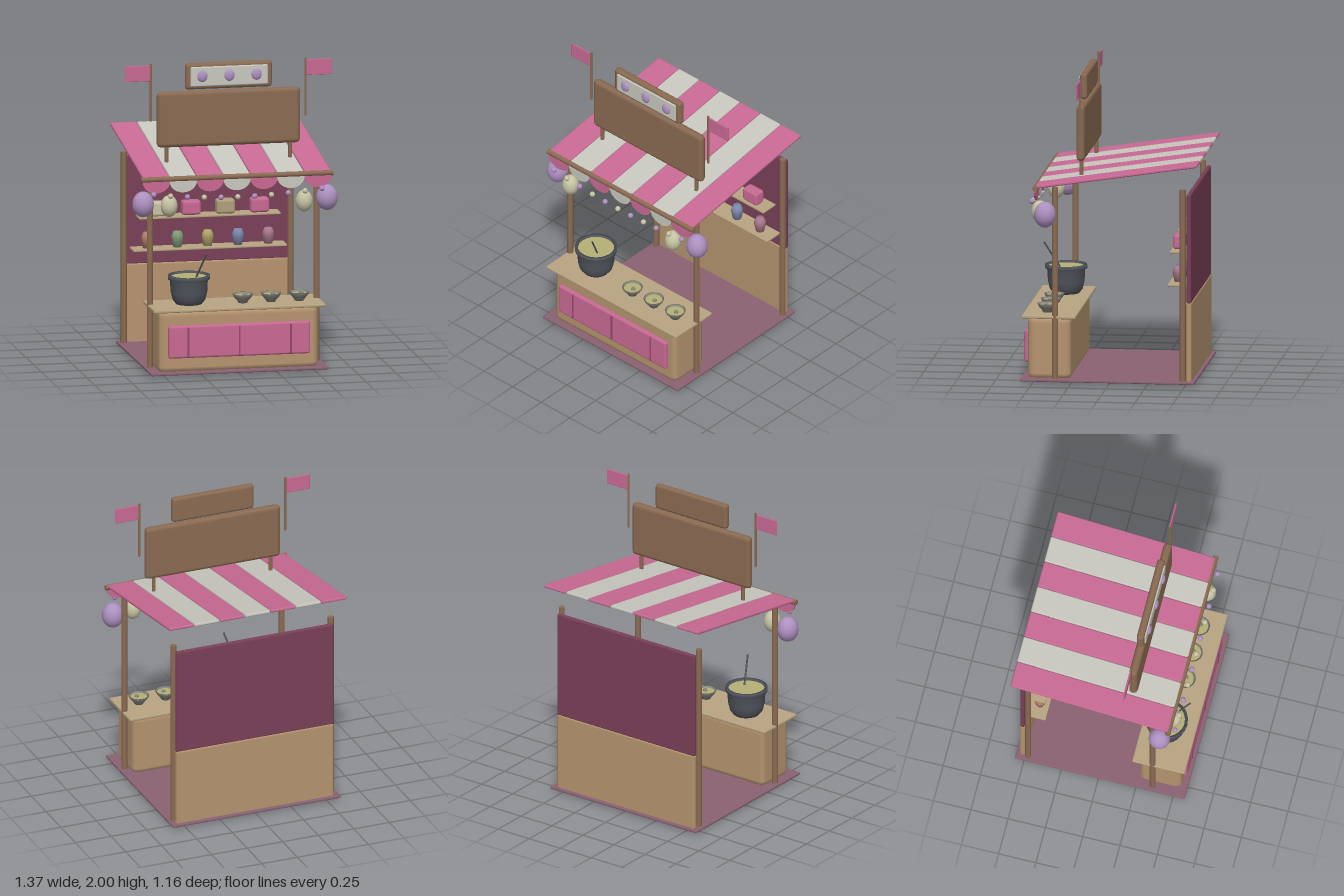
import * as THREE from 'three';
import { RoundedBoxGeometry } from 'three/addons/geometries/RoundedBoxGeometry.js';

const C = {
  wood: 0x8b6b52, lightWood: 0xb5946f, board: 0xb8a482, pink: 0xc96a94, darkPink: 0x9a4a6e,
  white: 0xc8c8c0, plum: 0x7a4058, floor: 0x8a6272, lilac: 0xad90c0, cream: 0xc6c4a4,
  iron: 0x51555d, soup: 0xb5b075, bowl: 0x85857f,
};

export function createModel() {
  const root = new THREE.Group();
  const materials = {};

  const mat = (color, side = THREE.FrontSide) =>
    (materials[color + '_' + side] ??= new THREE.MeshStandardMaterial({ color, side }));

  function add(name, geometry, color, x = 0, y = 0, z = 0, side) {
    const mesh = new THREE.Mesh(geometry, mat(color, side));
    mesh.name = name;
    mesh.position.set(x, y, z);
    root.add(mesh);
    return mesh;
  }

  // Softly bevelled box given by its extents on each axis
  function box(name, color, [x0, x1], [y0, y1], [z0, z1], r = 0.02) {
    const w = x1 - x0, h = y1 - y0, d = z1 - z0;
    const radius = Math.min(r, w * 0.49, h * 0.49, d * 0.49);
    return add(name, new RoundedBoxGeometry(w, h, d, 1, radius), color,
      (x0 + x1) / 2, (y0 + y1) / 2, (z0 + z1) / 2);
  }

  // Round rod between two points
  function rod(name, color, a, b, r, sides = 10) {
    const p = new THREE.Vector3(...a), q = new THREE.Vector3(...b);
    const mesh = add(name, new THREE.CylinderGeometry(r, r, p.distanceTo(q), sides), color);
    mesh.position.copy(p).add(q).multiplyScalar(0.5);
    mesh.quaternion.setFromUnitVectors(new THREE.Vector3(0, 1, 0), q.sub(p).normalize());
    return mesh;
  }

  function ball(name, color, x, y, z, rx, ry = rx, rz = rx) {
    const mesh = add(name, new THREE.SphereGeometry(1, 14, 10), color, x, y, z);
    mesh.scale.set(rx, ry, rz);
    return mesh;
  }

  function lathe(name, color, points, sides, x, y, z) {
    const profile = points.map(p => new THREE.Vector2(...p));
    return add(name, new THREE.LatheGeometry(profile, sides), color, x, y, z, THREE.DoubleSide);
  }

  // Floor, corner posts and back wall
  box('floor', C.floor, [-0.59, 0.59], [0.008, 0.026], [-0.56, 0.58], 0.006);
  for (const x of [-0.553, 0.553]) {
    rod('frontPost', C.wood, [x, 0, 0.355], [x, 1.29, 0.355], 0.02);
    rod('backPost', C.wood, [x, 0, -0.48], [x, 1.29, -0.48], 0.02);
  }
  box('lowerBackWall', C.lightWood, [-0.555, 0.555], [0.01, 0.545], [-0.538, -0.5], 0.015);
  box('upperBackWall', C.plum, [-0.555, 0.555], [0.535, 1.26], [-0.535, -0.505], 0.013);

  // Counter with a barred front panel
  box('counter', C.lightWood, [-0.53, 0.53], [0.012, 0.425], [0.255, 0.54], 0.04);
  box('counterTop', C.board, [-0.57, 0.57], [0.42, 0.442], [0.22, 0.574], 0.008);
  box('frontPanel', C.pink, [-0.47, 0.47], [0.115, 0.33], [0.52, 0.566], 0.015);
  for (const x of [-0.34, 0, 0.34])
    box('panelBar', C.darkPink, [x - 0.006, x + 0.006], [0.125, 0.32], [0.55, 0.571], 0.003);

  // Cooking pot, soup and ladle
  const potX = -0.3, potZ = 0.385;
  lathe('pot', C.iron, [[0, 0], [0.085, 0], [0.108, 0.03], [0.12, 0.08], [0.124, 0.155],
    [0.138, 0.165], [0.138, 0.19], [0.12, 0.19], [0.115, 0.15]], 20, potX, 0.443, potZ);
  add('potSoup', new THREE.CylinderGeometry(0.119, 0.119, 0.012, 20), C.soup, potX, 0.615, potZ);
  rod('ladle', C.iron, [-0.27, 0.58, 0.395], [-0.212, 0.79, 0.52], 0.006, 6);

  // Serving bowls
  for (const x of [0.05, 0.237, 0.425]) {
    lathe('bowl', C.bowl, [[0, 0], [0.03, 0], [0.034, 0.01], [0.055, 0.034], [0.068, 0.058],
      [0.061, 0.058], [0.05, 0.036]], 14, x, 0.442, 0.42);
    add('bowlSoup', new THREE.CylinderGeometry(0.056, 0.05, 0.008, 14), C.soup, x, 0.486, 0.42);
    ball('dumpling', C.bowl, x + 0.012, 0.493, 0.425, 0.014);
  }

  // Shelves with boxes and jars
  box('upperShelf', C.board, [-0.47, 0.47], [0.853, 0.867], [-0.505, -0.385], 0.004);
  box('lowerShelf', C.board, [-0.51, 0.51], [0.642, 0.656], [-0.505, -0.375], 0.004);
  [C.cream, C.pink, 0xb0a07c, C.pink].forEach((color, i) => {
    const x = -0.345 + i * 0.227;
    box('shelfBox', color, [x - 0.063, x + 0.063], [0.867, 0.963], [-0.475, -0.395], 0.018);
  });
  [0xb07f68, 0x7f9c78, 0xb0a468, 0x7f88ac, 0xa8788c].forEach((color, i) => {
    lathe('jar', color, [[0, 0], [0.028, 0], [0.04, 0.06], [0.037, 0.08], [0.025, 0.104], [0, 0.104]],
      8, -0.408 + i * 0.201, 0.656, -0.435);
  });

  // Sloping striped awning with a scalloped valance
  const stripeW = 1.25 / 7;
  const scallop = new THREE.Shape();
  scallop.moveTo(-stripeW / 2, 0.06);
  scallop.bezierCurveTo(-stripeW * 0.36, -0.02, stripeW * 0.36, -0.02, stripeW / 2, 0.06);
  scallop.lineTo(stripeW / 2, 0.09);
  scallop.lineTo(-stripeW / 2, 0.09);
  const scallopGeo = new THREE.ExtrudeGeometry(scallop, { depth: 0.012, bevelEnabled: false, curveSegments: 10 });
  for (let i = 0; i < 7; i++) {
    const x = (i - 3) * stripeW, color = i % 2 ? C.white : C.pink, h = stripeW / 2 - 0.0015;
    const stripe = box('awningStripe', color, [x - h, x + h], [1.367, 1.388], [-0.588, 0.483], 0.008);
    stripe.rotation.x = Math.atan2(0.16, 1.055);
    add('valanceScallop', scallopGeo, color, x, 1.2, 0.474);
  }
  rod('awningPole', C.wood, [-0.637, 1.29, 0.476], [0.637, 1.29, 0.476], 0.018);

  // Bead garland and hanging lanterns
  for (let i = 0; i < 11; i++) {
    const t = (i - 5) / 5;
    ball('bead', i % 2 ? C.cream : C.lilac, t * 0.558, 1.16 + 0.035 * t * t, 0.506, 0.018);
  }
  for (const s of [-1, 1]) {
    ball('largeLantern', C.lilac, s * 0.61, 1.117, 0.415, 0.072, 0.085, 0.072);
    ball('smallLantern', C.cream, s * 0.448, 1.11, 0.468, 0.056, 0.072, 0.056);
  }

  // Roof sign boards
  box('mainSign', C.wood, [-0.476, 0.476], [1.445, 1.815], [0.172, 0.229], 0.028);
  for (const x of [-0.41, 0.41]) rod('signPost', C.wood, [x, 1.335, 0.2], [x, 1.5, 0.2], 0.013, 8);
  box('topSign', C.wood, [-0.288, 0.288], [1.824, 1.997], [0.176, 0.225], 0.02);
  box('topSignPanel', C.white, [-0.257, 0.257], [1.845, 1.975], [0.21, 0.235], 0.008);
  for (const x of [-0.18, 0, 0.18])
    ball('signKnob', C.lilac, x, 1.914, 0.237, 0.034, 0.038, 0.016);

  // Flags on poles
  for (const s of [-1, 1]) {
    rod('flagPole', C.wood, [s * 0.513, 1.62, 0.197], [s * 0.513, 2, 0.197], 0.008, 8);
    const x = s * 0.602;
    box('flag', C.pink, [x - 0.083, x + 0.083], [1.887, 1.992], [0.192, 0.202], 0.004);
  }

  return root;
}
